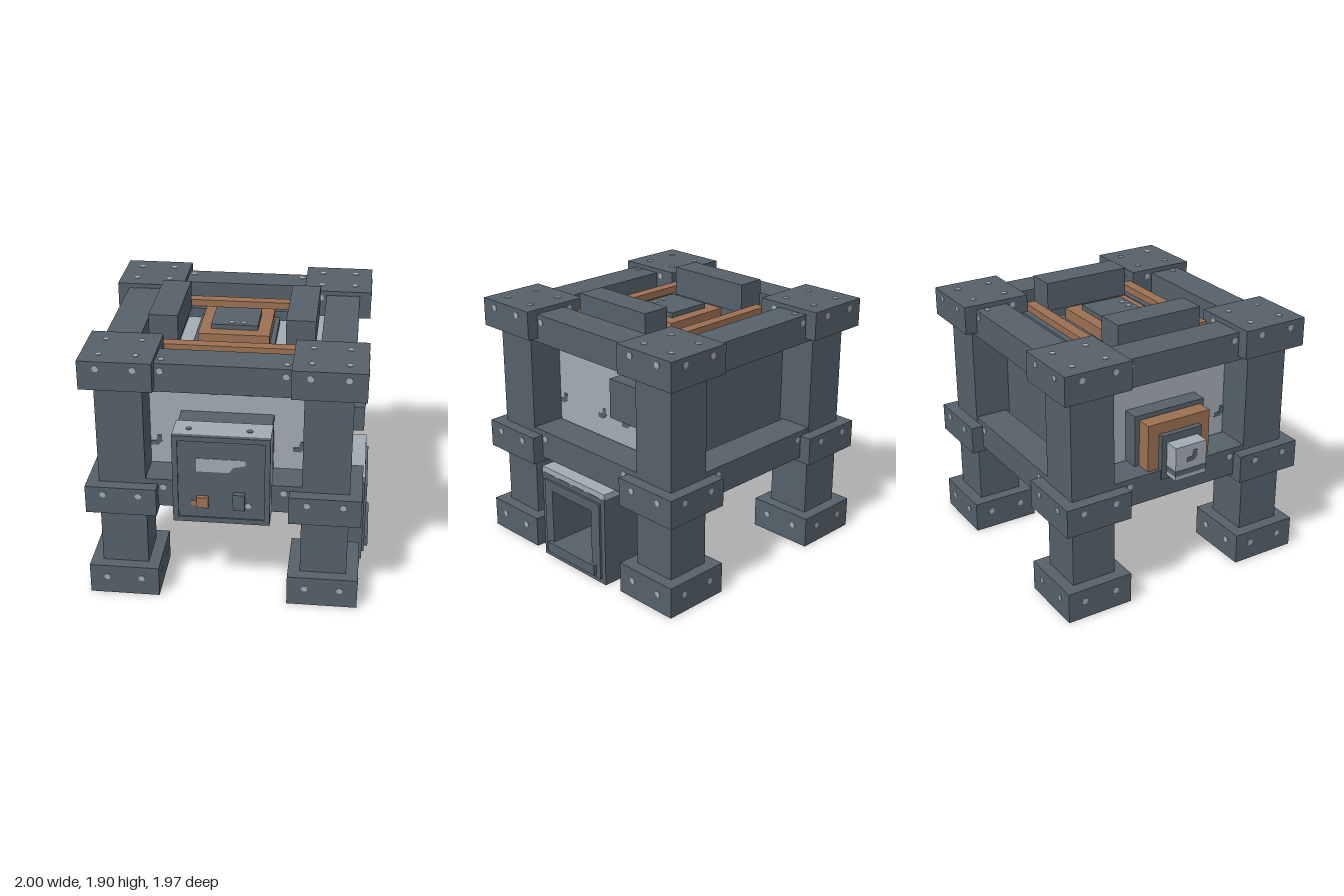
import * as THREE from 'three';

const mat = (name, color) => {
  const m = new THREE.MeshStandardMaterial({ color });
  m.name = name;
  return m;
};

export function createModel() {
  const root = new THREE.Group();
  const dark = mat('dark iron', 0x55616a);
  const light = mat('pale steel', 0xa3acb4);
  const copper = mat('copper', 0x9c7052);
  const CX = -0.013, CZ = -0.037;

  const group = (name) => {
    const g = new THREE.Group();
    g.name = name;
    root.add(g);
    return g;
  };
  const add = (parent, name, geo, m) => {
    const mesh = new THREE.Mesh(geo, m);
    mesh.name = name;
    parent.add(mesh);
    return mesh;
  };
  // Box given by its limits on each axis
  const box = (parent, name, m, x0, x1, y0, y1, z0, z1) => {
    const b = add(parent, name, new THREE.BoxGeometry(x1 - x0, y1 - y0, z1 - z0), m);
    b.position.set((x0 + x1) / 2, (y0 + y1) / 2, (z0 + z1) / 2);
    return b;
  };
  // Turn a flat part made facing +z towards another direction
  const face = (mesh, dir) => {
    if (dir === '+x') mesh.rotation.y = Math.PI / 2;
    if (dir === '-x') mesh.rotation.y = -Math.PI / 2;
    if (dir === '-z') mesh.rotation.y = Math.PI;
    if (dir === '+y') mesh.rotation.x = -Math.PI / 2;
    if (dir === '-y') mesh.rotation.x = Math.PI / 2;
    return mesh;
  };
  const rivetGeo = new THREE.CylinderGeometry(0.023, 0.023, 0.008, 8).rotateX(Math.PI / 2);
  const rivet = (parent, dir, x, y, z, m = light) =>
    face(add(parent, 'rivet', rivetGeo, m), dir).position.set(x, y, z);
  const plate = (points, depth) => new THREE.ExtrudeGeometry(
    new THREE.Shape(points.map(([x, y]) => new THREE.Vector2(x, y))),
    { depth, bevelEnabled: false });
  const spotGeo = plate([[-0.042, -0.04], [0.012, -0.04], [0.04, -0.01], [0.04, 0.04],
    [0.008, 0.04], [0, -0.005], [-0.042, -0.008]], 0.005);
  const spot = (parent, dir, x, y, z) =>
    face(add(parent, 'wallSpot', spotGeo, dark), dir).position.set(x, y, z);
  // Rectangular frame [left, right, bottom, top] with a rectangular hole
  const frame = ([a, b, c, d], [e, f, g, h], depth) => {
    const s = new THREE.Shape([[a, c], [b, c], [b, d], [a, d]].map((p) => new THREE.Vector2(...p)));
    s.holes.push(new THREE.Path([[e, g], [e, h], [f, h], [f, g]].map((p) => new THREE.Vector2(...p))));
    return new THREE.ExtrudeGeometry(s, { depth, bevelEnabled: false });
  };

  // Corner posts with riveted collars
  for (const sx of [-1, 1]) for (const sz of [-1, 1]) {
    const post = group('cornerPost');
    const x = CX + sx * 0.7, z = CZ + sz * 0.7, h = 0.247, o = 0.123;
    box(post, 'post', dark, x - 0.163, x + 0.163, 0.1, 1.7, z - 0.163, z + 0.163);
    for (const [y0, y1, ry] of [[0, 0.225, 0.135], [0.665, 0.87, 0.815], [1.61, 1.815, 1.765]]) {
      box(post, 'collar', dark, x - h, x + h, y0, y1, z - h, z + h);
      for (const k of [-o, o]) {
        rivet(post, '+z', x + k, ry, z + h);
        rivet(post, '-z', x + k, ry, z - h);
        rivet(post, '+x', x + h, ry, z + k);
        rivet(post, '-x', x - h, ry, z + k);
        for (const j of [-o, o]) {
          if (y0 > 1) rivet(post, '+y', x + k, y1, z + j);
          if (y0 === 0) rivet(post, '-y', x + k, 0.004, z + j);
        }
      }
    }
  }

  // Upper and lower rails
  const rails = group('rails');
  for (const [y0, y1, ry] of [[0.7, 0.908, 0.85], [1.578, 1.782, 1.73]]) for (const s of [-1, 1]) {
    const z = CZ + s * 0.74, x = CX + s * 0.74;
    box(rails, 'crossRail', dark, CX - 0.58, CX + 0.58, y0, y1, z - 0.12, z + 0.12);
    box(rails, 'sideRail', dark, x - 0.122, x + 0.122, y0, y1, CZ - 0.58, CZ + 0.58);
    for (const k of [-0.415, 0.415]) {
      rivet(rails, s > 0 ? '+z' : '-z', CX + k, ry, z + s * 0.12);
      rivet(rails, s > 0 ? '+x' : '-x', x + s * 0.122, ry, CZ + k);
      if (y0 > 1) rivet(rails, '+y', CX + k, y1, z + 0.05 * s);
    }
  }

  // Body with a dark back panel and spotted walls
  const body = group('body');
  box(body, 'bodyShell', light, -0.62, 0.595, 0.72, 1.62, -0.62, 0.575);
  box(body, 'backPanel', dark, -0.62, 0.595, 0.72, 1.61, -0.63, -0.62);
  for (const y of [1.49, 1.08]) {
    for (const x of [-0.51, -0.09, 0.15, 0.485]) spot(body, '+z', x, y, 0.573);
    for (const z of [0.465, 0.045, -0.205, -0.535]) {
      spot(body, '+x', 0.593, y, z);
      spot(body, '-x', -0.618, y, z);
    }
  }
  for (const x of [-0.17, 0.07]) spot(body, '+y', x, 1.618, -0.56);
  for (const x of [-0.2, 0.05]) rivet(body, '+y', x, 1.62, 0.47, dark);
  box(body, 'sideBracket', dark, 0.59, 0.74, 1.16, 1.445, -0.53, -0.2);

  // Roof fittings
  const roof = group('roof');
  for (const s of [-1, 1]) {
    const z = CZ + s * 0.41, x = CX + s * 0.475;
    box(roof, 'roofStrip', dark, CX - 0.545, CX + 0.545, 1.62, 1.69, z - 0.082, z + 0.082);
    box(roof, 'copperStrip', copper, CX - 0.495, CX + 0.495, 1.69, 1.74, z - 0.04, z + 0.04);
    box(roof, 'roofBeam', dark, x - 0.102, x + 0.102, 1.69, 1.9, CZ - 0.33, CZ + 0.33);
    box(roof, 'beamFoot', dark, x - 0.08, x + 0.08, 1.61, 1.69, CZ - 0.33, CZ + 0.33);
  }
  box(roof, 'hatchBase', dark, -0.3, 0.275, 1.62, 1.66, -0.325, 0.24);
  box(roof, 'hatchRing', copper, -0.26, 0.24, 1.66, 1.74, -0.29, 0.21);
  box(roof, 'hatchCap', dark, -0.178, 0.152, 1.74, 1.775, -0.205, 0.12);
  for (const x of [-0.035, 0.05]) rivet(roof, '+y', x, 1.775, 0.07);

  // Side outlet
  const outlet = group('sideOutlet');
  box(outlet, 'outletBase', dark, -0.74, -0.61, 0.72, 1.285, -0.325, 0.24);
  box(outlet, 'outletRing', copper, -0.85, -0.74, 0.75, 1.25, -0.29, 0.21);
  box(outlet, 'outletPlate', dark, -0.89, -0.85, 0.84, 1.17, -0.205, 0.12);
  box(outlet, 'outletPort', light, -0.997, -0.89, 0.87, 1.115, -0.165, 0.085);
  box(outlet, 'portBand', dark, -0.999, -0.89, 0.9, 0.94, -0.167, 0.087);
  spot(outlet, '-x', -0.995, 1.03, -0.03);

  // Control box on the front
  const control = group('controlBox');
  box(control, 'controlCollar', dark, -0.33, 0.31, 0.68, 1.32, 0.56, 0.73);
  box(control, 'controlHousing', light, -0.342, 0.317, 0.667, 1.325, 0.73, 0.92);
  add(control, 'controlFrame', frame([-0.342, 0.317, 0.667, 1.325], [-0.305, 0.28, 0.705, 1.288], 0.033), dark)
    .position.z = 0.92;
  box(control, 'controlPanel', dark, -0.305, 0.28, 0.705, 1.288, 0.915, 0.943);
  add(control, 'gauge', plate([[-0.18, 1.06], [0.04, 1.06], [0.07, 1.1], [0.15, 1.12],
    [0.15, 1.16], [-0.18, 1.16]], 0.006), light).position.z = 0.942;
  box(control, 'copperButton', copper, -0.178, -0.098, 0.79, 0.87, 0.94, 0.972);
  box(control, 'copperMark', copper, -0.22, -0.178, 0.79, 0.83, 0.942, 0.948);
  box(control, 'lever', dark, 0.07, 0.15, 0.79, 0.91, 0.94, 0.983);
  rivet(control, '+z', 0.17, 0.81, 0.944);
  for (const x of [-0.24, 0.17]) rivet(control, '+y', x, 1.325, 0.84, dark);

  // Firebox on the left side, open towards +x
  const fire = group('firebox');
  const hole = [-0.175, 0.24, 0.14, 0.545];
  const wall = add(fire, 'fireboxWalls', frame([-0.297, 0.362, 0, 0.66], hole, 0.355), dark);
  face(wall, '+x').position.x = 0.6;
  const rim = add(fire, 'fireboxRim', frame([-0.255, 0.325, 0.04, 0.62], hole, 0.017), dark);
  face(rim, '+x').position.x = 0.955;
  box(fire, 'fireboxBack', dark, 0.54, 0.6, 0, 0.66, -0.362, 0.297);
  box(fire, 'fireboxLid', light, 0.54, 0.953, 0.66, 0.702, -0.362, 0.297);
  box(fire, 'fireboxSill', dark, 0.955, 0.998, 0.062, 0.14, -0.285, 0.21);
  box(fire, 'torchFlame', light, 0.598, 0.606, 0.33, 0.45, -0.06, 0.01);
  const cup = add(fire, 'torchCup', plate([[-0.01, 0.25], [0.07, 0.25], [0.08, 0.285], [0.12, 0.31],
    [0.12, 0.335], [-0.05, 0.335], [-0.05, 0.31], [-0.02, 0.285]], 0.008), copper);
  face(cup, '+x').position.x = 0.599;

  // Drill hanging below: twisted, shrinking plates on a shaft
  const drill = group('drill');
  const turns = [45, 22.5, 0, -22.5, 45, 45, 0];
  turns.forEach((deg, i) => {
    const w = 0.745 - i * 0.097;
    const p = add(drill, 'drillPlate', new THREE.BoxGeometry(w, 0.066, w), dark);
    p.position.set(CX, 0.675 - i * 0.093, CZ);
    p.rotation.y = THREE.MathUtils.degToRad(deg);
  });
  const shaft = add(drill, 'drillShaft', new THREE.BoxGeometry(0.11, 0.6, 0.11), dark);
  shaft.position.set(CX, 0.42, CZ);
  shaft.rotation.y = Math.PI / 4;

  return root;
}
